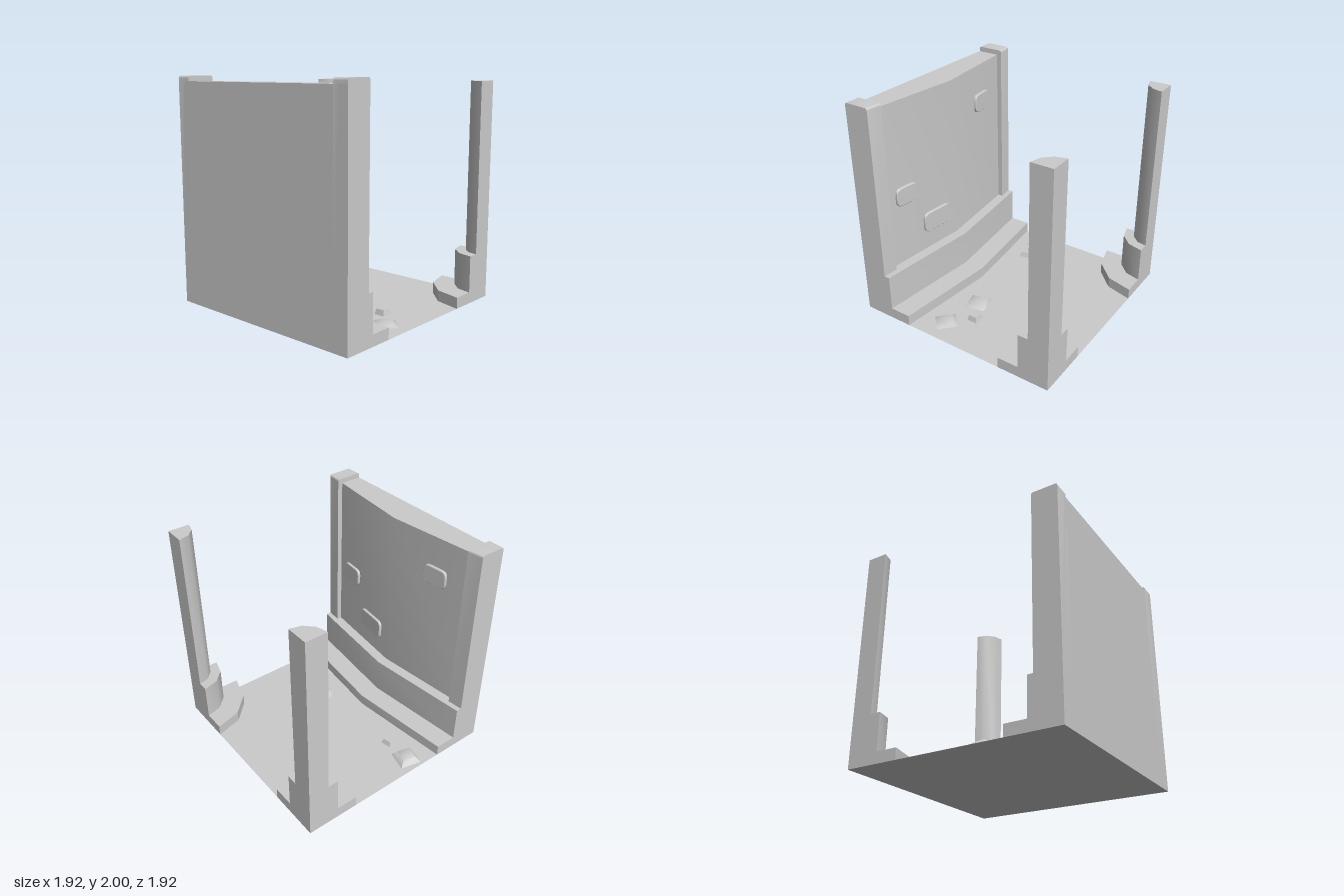
import * as THREE from 'three';
import { toCreasedNormals } from 'three/addons/utils/BufferGeometryUtils.js';

const H = 0.96; // half of the square footprint
const WALL_SLOPE = 0.1 / H; // the wall's inner face bends back from its middle
const material = new THREE.MeshStandardMaterial({ color: 0xcccccc });

function addMesh(parent, name, geometry, crease = 0.7) {
  const mesh = new THREE.Mesh(toCreasedNormals(geometry, crease), material);
  mesh.name = name;
  parent.add(mesh);
  return mesh;
}

// Upright prism from a plan outline of [x, z] points
function prism(points, y0, y1) {
  const shape = new THREE.Shape(points.map(([x, z]) => new THREE.Vector2(x, -z)));
  const geo = new THREE.ExtrudeGeometry(shape, { depth: y1 - y0, bevelEnabled: false });
  return geo.rotateX(-Math.PI / 2).translate(0, y0, 0);
}

// Wall layer with a shallow V-shaped inner face
function wallLayer(zMid, y0, y1) {
  return prism([[-H, H], [-H, zMid + 0.1], [0, zMid], [H, zMid + 0.1], [H, H]], y0, y1);
}

// Three-sided quarter round standing in a back corner
function quarterRound(side, r, y0, y1) {
  const points = [[side * H, -H]];
  for (let i = 0; i <= 3; i++) {
    const a = (i * Math.PI) / 6;
    points.push([side * (H - r * Math.cos(a)), -H + r * Math.sin(a)]);
  }
  return prism(points, y0, y1);
}

// Wall pillar: rounded top edges, front face slightly skewed
function pillarGeometry(side) {
  const w = 0.14, front = 0.725, top = 2, b = 0.022;
  const s = new THREE.Shape();
  s.moveTo(-H, 0.43);
  s.lineTo(-H, top - b);
  s.quadraticCurveTo(-H, top, -H + b, top);
  s.lineTo(-front - b, top);
  s.quadraticCurveTo(-front, top, -front, top - b);
  s.lineTo(-front, 0.43);
  const geo = new THREE.ExtrudeGeometry(s, { depth: w, bevelEnabled: false, curveSegments: 4 });
  geo.rotateY(Math.PI / 2).translate(side > 0 ? H - w : -H, 0, 0);
  const p = geo.attributes.position;
  for (let i = 0; i < p.count; i++) {
    const inward = (H - Math.abs(p.getX(i))) / w;
    const nearFront = p.getZ(i) < 0.8 ? 1 : 0;
    p.setZ(i, p.getZ(i) - 0.015 * inward * nearFront);
  }
  return geo;
}

// Thin rounded brick lying on the wall's inner face
function brickGeometry(w, h) {
  const r = 0.045, b = 0.006, x = w / 2 - b, y = h / 2 - b;
  const s = new THREE.Shape();
  s.moveTo(-x + r, -y);
  s.lineTo(x - r, -y);
  s.quadraticCurveTo(x, -y, x, -y + r);
  s.lineTo(x, y - r);
  s.quadraticCurveTo(x, y, x - r, y);
  s.lineTo(-x + r, y);
  s.quadraticCurveTo(-x, y, -x, y - r);
  s.lineTo(-x, -y + r);
  s.quadraticCurveTo(-x, -y, -x + r, -y);
  return new THREE.ExtrudeGeometry(s, {
    depth: 0.024, bevelThickness: b, bevelSize: b, bevelSegments: 1, curveSegments: 4,
  }).translate(0, 0, -0.012);
}

export function createModel() {
  const model = new THREE.Group();
  model.name = 'roomCorner';

  // Floor
  const floor = addMesh(model, 'floor', new THREE.PlaneGeometry(2 * H, 2 * H).rotateX(-Math.PI / 2));
  floor.material = material.clone();
  floor.material.side = THREE.DoubleSide;

  // Wall on its two plinth steps
  addMesh(model, 'wallBaseStep', wallLayer(0.38, 0, 0.1));
  addMesh(model, 'wallPlinth', wallLayer(0.575, 0.1, 0.43));
  addMesh(model, 'wall', wallLayer(0.672, 0.43, 1.955));

  // Wall pillars and stepped corner columns, mirrored
  for (const side of [-1, 1]) {
    const label = side > 0 ? 'left' : 'right';
    addMesh(model, label + 'Pillar', pillarGeometry(side));
    const column = new THREE.Group();
    column.name = label + 'Column';
    addMesh(column, 'columnBase', quarterRound(side, 0.48, 0, 0.1), 0.3);
    addMesh(column, 'columnPlinth', quarterRound(side, 0.285, 0.1, 0.43));
    addMesh(column, 'columnShaft', quarterRound(side, 0.19, 0.43, 1.955));
    model.add(column);
  }

  // Bricks standing out of the wall: x, y, width, height
  for (const [x, y, w, h] of [[-0.495, 1.6, 0.235, 0.17], [0.26, 0.705, 0.32, 0.19], [0.6, 1.09, 0.235, 0.17]]) {
    const brick = addMesh(model, 'wallBrick', brickGeometry(w, h));
    brick.position.set(x, y, 0.672 + Math.abs(x) * WALL_SLOPE - 0.007);
    brick.rotation.y = -Math.sign(x) * Math.atan(WALL_SLOPE);
  }

  // Loose stones: x, z, width, height, turn in degrees, top scale
  const stones = [
    [-0.815, 0.225, 0.195, 0.05, -13, 0.62],
    [-0.567, 0.238, 0.1, 0.045, 12, 0.7],
    [0.36, 0.163, 0.19, 0.025, 14, 0.65],
    [0.738, 0.238, 0.185, 0.027, 45, 0.6],
    [0.56, 0.05, 0.1, 0.05, 0, 0.75],
  ];
  for (const [x, z, w, h, turn, top] of stones) {
    const r = w / Math.SQRT2;
    const geo = new THREE.CylinderGeometry(r * top, r, h, 4).rotateY(Math.PI / 4);
    const stone = addMesh(model, 'looseStone', geo, 1.0);
    stone.position.set(x, h / 2, z);
    stone.rotation.y = THREE.MathUtils.degToRad(turn);
  }
  return model;
}
